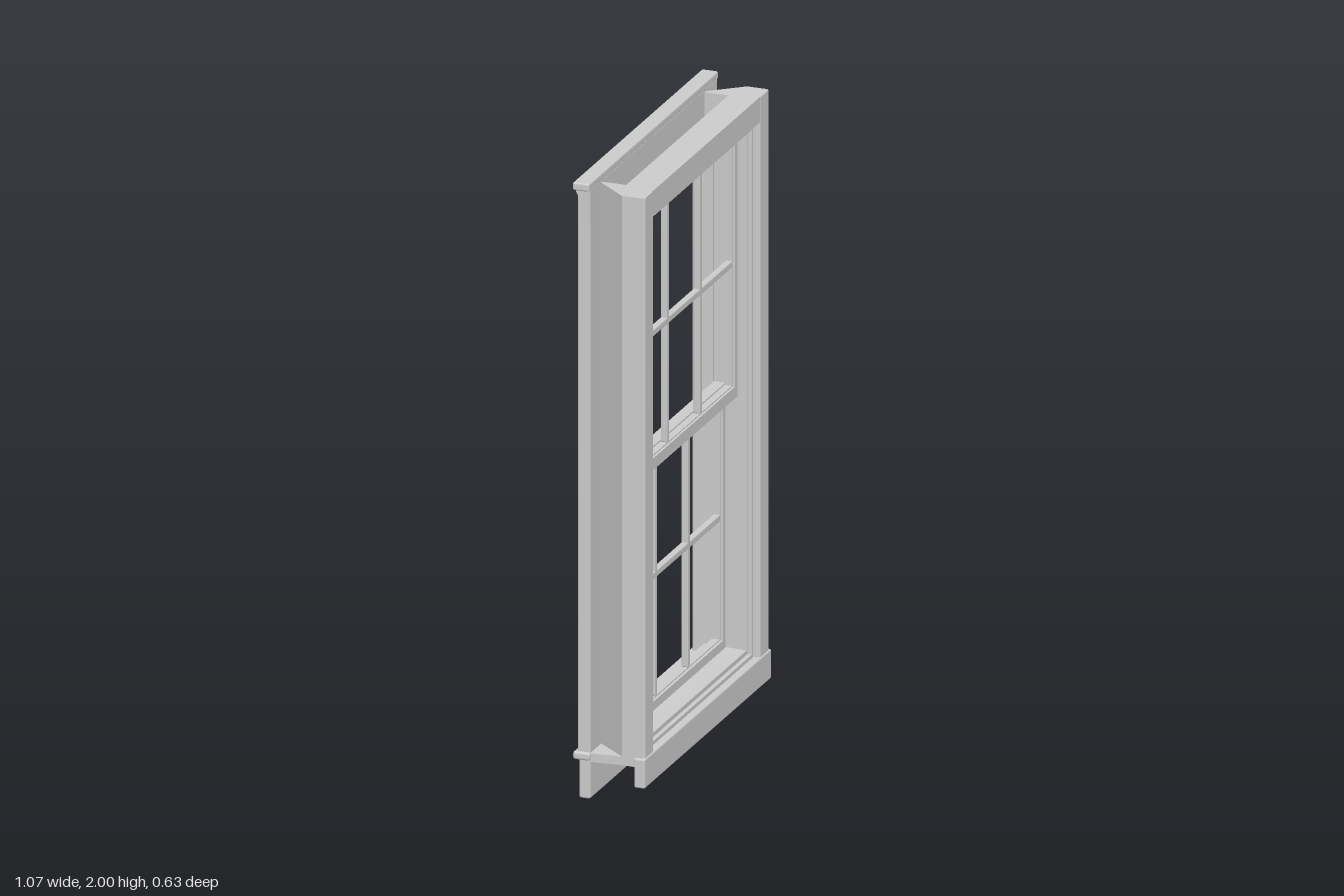
import * as THREE from 'three';
import { RoundedBoxGeometry } from 'three/addons/geometries/RoundedBoxGeometry.js';

const material = new THREE.MeshStandardMaterial({ color: 0xcccccc });

export function createModel() {
  const model = new THREE.Group();
  model.name = 'doubleHungWindow';
  // The window stands turned about the vertical axis.
  const win = new THREE.Group();
  win.name = 'window';
  win.rotation.y = 0.405;
  win.position.set(0.007 * Math.cos(0.405), 0, -0.007 * Math.sin(0.405));
  model.add(win);

  const add = (name, geometry, parent = win) => {
    const mesh = new THREE.Mesh(geometry, material);
    mesh.name = name;
    parent.add(mesh);
    return mesh;
  };

  // Box given by its limits; r rounds the edges.
  const box = (name, x0, x1, y0, y1, z0, z1, r = 0, parent = win) => {
    const s = [x1 - x0, y1 - y0, z1 - z0];
    const g = r ? new RoundedBoxGeometry(...s, 2, r) : new THREE.BoxGeometry(...s);
    g.translate((x0 + x1) / 2, (y0 + y1) / 2, (z0 + z1) / 2);
    return add(name, g, parent);
  };

  const shapeOf = (pts) => new THREE.Shape(pts.map(([a, b]) => new THREE.Vector2(a, b)));

  // Vertical prism from a plan outline of [x, z] points.
  const prism = (name, pts, y0, y1) => {
    const g = new THREE.ExtrudeGeometry(shapeOf(pts.map(([x, z]) => [x, -z])), { depth: y1 - y0, bevelEnabled: false });
    g.rotateX(-Math.PI / 2).translate(0, y0, 0);
    return add(name, g);
  };

  // Horizontal moulding from a side outline of [z, y] points.
  const moulding = (name, pts, half) => {
    const g = new THREE.ExtrudeGeometry(shapeOf(pts), { depth: 2 * half, bevelEnabled: false });
    g.translate(0, 0, -half).rotateY(-Math.PI / 2);
    return add(name, g);
  };

  // Rectangular frame with a rectangular hole.
  const ring = (name, outer, inner, z0, z1, parent = win) => {
    const rect = ([h, y0, y1]) => [[-h, y0], [h, y0], [h, y1], [-h, y1]];
    const s = shapeOf(rect(outer));
    s.holes.push(shapeOf(rect(inner)));
    const g = new THREE.ExtrudeGeometry(s, { depth: z1 - z0, bevelEnabled: false });
    return add(name, g.translate(0, 0, z0), parent);
  };

  for (const s of [-1, 1]) {
    const side = s < 0 ? 'right' : 'left';
    // Jamb whose outer face slants from the inner trim out to the front casing
    prism(side + 'Jamb', [
      [s * 0.424, -0.054], [s * 0.434, -0.054], [s * 0.519, 0.047], [s * 0.519, 0.112],
      [s * 0.512, 0.12], [s * 0.447, 0.12], [s * 0.44, 0.112], [s * 0.44, 0.095], [s * 0.424, 0.095],
    ], 0.15, 1.97);
    // Flat casing leg on the back
    const x = [s * 0.425, s * 0.527].sort((a, b) => a - b);
    box(side + 'BackCasing', x[0], x[1], 0.15, 1.975, -0.096, -0.054, 0.006);
  }

  // Head: front casing board, with a trough behind it
  box('frontHeadCasing', -0.445, 0.445, 1.888, 1.97, 0.023, 0.118);
  box('headJamb', -0.43, 0.43, 1.868, 1.89, -0.054, 0.1);

  // Back head casing with a small cove, and its cap
  moulding('backHeadCasing', [
    [-0.054, 1.862], [-0.088, 1.862], [-0.093, 1.868], [-0.093, 1.945],
    [-0.095, 1.958], [-0.101, 1.968], [-0.101, 1.976], [-0.054, 1.976],
  ], 0.527);
  box('backHeadCap', -0.538, 0.538, 1.974, 2, -0.108, -0.054, 0.006);

  // Stops on either side of the sashes
  ring('frontStop', [0.432, 0.16, 1.885], [0.418, 0.182, 1.862], 0.056, 0.086);
  ring('frontStopEdge', [0.435, 0.155, 1.888], [0.427, 0.168, 1.875], 0.086, 0.1);
  ring('backStop', [0.43, 0.16, 1.88], [0.416, 0.185, 1.858], -0.05, -0.024);

  // Sill: splayed plate, sloping top and front nose
  prism('sillPlate', [
    [-0.527, -0.056], [0.527, -0.056], [0.519, 0.05], [0.519, 0.1], [-0.519, 0.1], [-0.519, 0.05],
  ], 0.125, 0.153);
  moulding('slopingSill', [
    [-0.054, 0.14], [0.1, 0.14], [0.1, 0.155], [0.058, 0.168], [0.056, 0.18], [-0.054, 0.185],
  ], 0.43);
  box('sillNose', -0.527, 0.527, 0.06, 0.156, 0.088, 0.124, 0.006);

  // Back stool and apron
  box('stool', -0.538, 0.538, 0.13, 0.156, -0.108, -0.052, 0.008);
  box('apron', -0.527, 0.527, 0.003, 0.134, -0.092, -0.054, 0.008);

  // Sash: frame, thin bead, and bars for two rows of three panes
  const sash = (name, y0, y1, open0, open1, z0, z1) => {
    const g = new THREE.Group();
    g.name = name;
    win.add(g);
    const zm = (z0 + z1) / 2;
    ring('sashFrame', [0.42, y0, y1], [0.4, open0 - 0.004, open1 + 0.004], z0, z1, g);
    ring('sashBead', [0.403, open0 - 0.008, open1 + 0.008], [0.394, open0, open1], zm - 0.01, zm + 0.01, g);
    for (const s of [-1, 1]) {
      box('uprightBar', s * 0.136 - 0.01, s * 0.136 + 0.01, open0, open1, zm - 0.011, zm + 0.011, 0.004, g);
    }
    const ym = (open0 + open1) / 2;
    box('crossBar', -0.395, 0.395, ym - 0.011, ym + 0.011, zm - 0.011, zm + 0.011, 0.004, g);
  };
  sash('upperSash', 1.0, 1.862, 1.042, 1.83, 0.019, 0.054);
  sash('lowerSash', 0.182, 1.04, 0.215, 1.002, -0.022, 0.016);

  return model;
}
